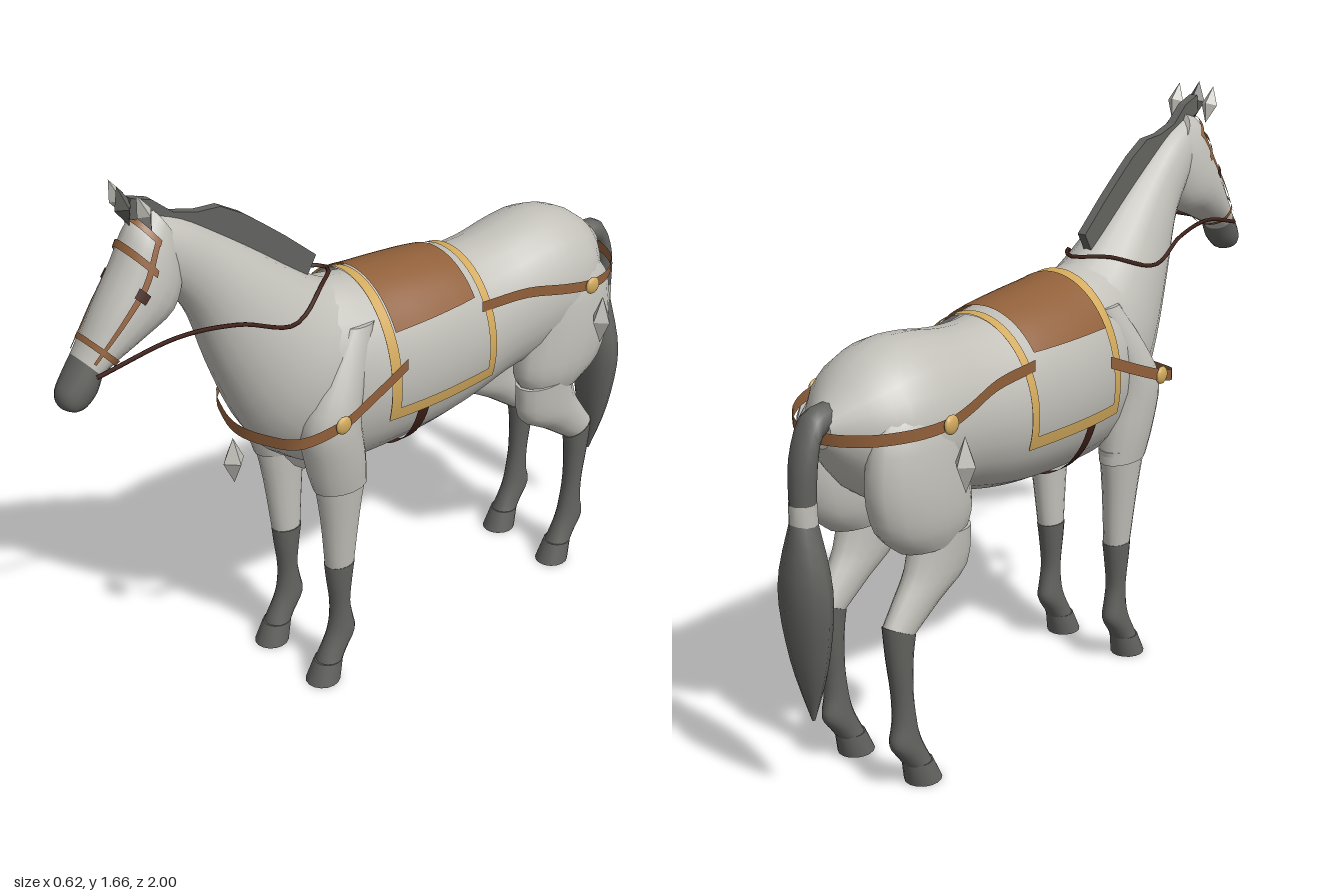
import * as THREE from 'three';

const mat = (name, color, side = THREE.FrontSide) => {
  const m = new THREE.MeshStandardMaterial({ color, side });
  m.name = name;
  return m;
};

// Ring = [frontZ, frontY, backZ, backY, halfWidth, centreX]; u is a fractional ring index
function ringAt(rings, u) {
  const n = rings.length - 1, i = Math.min(Math.floor(u), n - 1), t = u - i;
  const p = k => rings[Math.max(0, Math.min(n, k))];
  return [0, 1, 2, 3, 4, 5].map(k => {
    const [a, b, c, d] = [p(i - 1), p(i), p(i + 1), p(i + 2)].map(r => r[k] ?? 0);
    return 0.5 * (2 * b + (c - a) * t + (2 * a - 5 * b + 4 * c - d) * t * t + (3 * b - a - 3 * c + d) * t ** 3);
  });
}

// Point on a ring at angle a, pushed outward by off
function ringPoint([z1, y1, z2, y2, w, x], a, off = 0) {
  const k = 1 + 2 * off / Math.max(0.01, Math.hypot(z1 - z2, y1 - y2));
  const s = Math.sin(a) * 0.5 * k;
  return [x + Math.cos(a) * (w + off), (y1 + y2) / 2 + s * (y1 - y2), (z1 + z2) / 2 + s * (z1 - z2)];
}

// Grid of rows of points to a smooth surface; weld closes each row into a loop
function gridGeometry(rows, weld = false, flip = false) {
  const n = rows[0].length, pos = rows.flat(2), idx = [];
  for (let i = 0; i < rows.length - 1; i++)
    for (let j = 0; j < (weld ? n : n - 1); j++) {
      const a = i * n + j, b = i * n + (j + 1) % n, c = a + n, d = b + n;
      idx.push(...(flip ? [a, c, b, b, c, d] : [a, b, c, b, d, c]));
    }
  if (weld) for (const [row, start] of [[rows[0], true], [rows.at(-1), false]]) {
    const base = pos.length / 3;
    pos.push(...row.flat(), ...[0, 1, 2].map(k => row.reduce((s, p) => s + p[k] / n, 0)));
    for (let j = 0; j < n; j++) {
      const a = base + j, b = base + (j + 1) % n;
      idx.push(...(start !== flip ? [base + n, b, a] : [base + n, a, b]));
    }
  }
  const g = new THREE.BufferGeometry();
  g.setAttribute('position', new THREE.Float32BufferAttribute(pos, 3));
  g.setIndex(idx);
  g.computeVertexNormals();
  return g;
}

function loft(rings, steps = 3, sides = 16) {
  const rows = [], count = (rings.length - 1) * steps;
  let turn = 0;
  rings.slice(1).forEach((r, i) => {
    const q = rings[i];
    const dz = r[0] + r[2] - q[0] - q[2], dy = r[1] + r[3] - q[1] - q[3];
    turn += dz * (r[1] - r[3]) - dy * (r[0] - r[2]);
  });
  for (let i = 0; i <= count; i++) {
    const r = ringAt(rings, i / steps);
    rows.push(Array.from({ length: sides }, (_, j) => ringPoint(r, j / sides * Math.PI * 2)));
  }
  return gridGeometry(rows, true, turn < 0);
}

// Thin sheet lying on a lofted surface between u0..u1 and an angle range
function patch(rings, u0, u1, range, off, nu = 6, na = 20) {
  const rows = [];
  for (let i = 0; i <= nu; i++) {
    const r = ringAt(rings, u0 + (u1 - u0) * i / nu), [a0, a1] = range(r);
    rows.push(Array.from({ length: na + 1 }, (_, j) => ringPoint(r, a0 + (a1 - a0) * j / na, off)));
  }
  return gridGeometry(rows);
}

// Upright band along a path
function ribbon(points, height, steps = 48) {
  const pts = new THREE.CatmullRomCurve3(points.map(p => new THREE.Vector3(...p)), false, 'centripetal').getPoints(steps);
  return gridGeometry([-0.5, 0.5].map(s => pts.map(p => [p.x, p.y + s * height, p.z])));
}

export function createModel() {
  const group = new THREE.Group();
  const coat = mat('pale grey coat', 0xc2c0b9);
  const dark = mat('dark grey points', 0x62625f);
  const cloth = mat('grey cloth', 0xbdbbb4, THREE.DoubleSide);
  const leather = mat('brown leather', 0x91603a, THREE.DoubleSide);
  const gold = mat('gold trim', 0xd2a95c, THREE.DoubleSide);
  const rein = mat('dark brown leather', 0x43231b, THREE.DoubleSide);
  const add = (name, geometry, material) => {
    const m = new THREE.Mesh(geometry, material);
    m.name = name;
    group.add(m);
    return m;
  };
  const mirrored = (name, rings, material, steps) => [1, -1].forEach(s =>
    add(name, loft(rings.map(r => [...r.slice(0, 5), s * r[5]]), steps), material));

  // Barrel: evenly spaced slices of top, bottom and half width
  const z0 = -0.87, dz = 0.115;
  const body = [[1.06, 0.97, 0.04], [1.155, 0.82, 0.16], [1.195, 0.76, 0.195], [1.19, 0.74, 0.195],
    [1.17, 0.72, 0.19], [1.165, 0.69, 0.195], [1.18, 0.67, 0.205], [1.19, 0.66, 0.21],
    [1.2, 0.655, 0.205], [1.22, 0.655, 0.19], [1.235, 0.67, 0.16]]
    .map(([t, b, w], i) => [z0 + i * dz, t, z0 + i * dz, b, w, 0]);
  add('body', loft(body, 3, 24), coat);

  // Neck and head
  add('neck', loft([[0.1, 1.2, 0.24, 0.67, 0.17], [0.19, 1.23, 0.37, 0.76, 0.165], [0.28, 1.29, 0.46, 0.88, 0.14],
    [0.4, 1.38, 0.545, 1.08, 0.105], [0.52, 1.465, 0.595, 1.23, 0.078], [0.62, 1.53, 0.64, 1.31, 0.066],
    [0.72, 1.57, 0.68, 1.36, 0.055]], 3, 20), coat);
  const head = [[0.70, 1.575, 0.64, 1.47, 0.045], [0.76, 1.55, 0.63, 1.37, 0.07], [0.81, 1.46, 0.665, 1.295, 0.085],
    [0.865, 1.37, 0.75, 1.255, 0.08], [0.915, 1.285, 0.85, 1.21, 0.064], [0.94, 1.25, 0.885, 1.185, 0.056]];
  add('head', loft(head), coat);
  add('muzzle', loft([[0.94, 1.25, 0.885, 1.185, 0.056], [0.975, 1.205, 0.9, 1.145, 0.054],
    [0.998, 1.17, 0.93, 1.115, 0.047], [1.0, 1.14, 0.955, 1.11, 0.035], [0.993, 1.125, 0.97, 1.112, 0.015]]), dark);

  // Mane as a thin scalloped crest
  const mane = new THREE.Shape();
  [[0.77, 1.57], [0.76, 1.62], [0.7, 1.6], [0.64, 1.55], [0.57, 1.53], [0.5, 1.525], [0.43, 1.485], [0.37, 1.44],
    [0.3, 1.385], [0.2, 1.3], [0.235, 1.24], [0.3, 1.27], [0.45, 1.38], [0.6, 1.48], [0.7, 1.54]]
    .forEach(([z, y], i) => (i ? mane.lineTo(-z, y) : mane.moveTo(-z, y)));
  const maneGeometry = new THREE.ExtrudeGeometry(mane, { depth: 0.026, bevelEnabled: false });
  add('mane', maneGeometry.translate(0, 0, -0.013).rotateY(Math.PI / 2), dark);

  // Ears, plume and hanging drops share one diamond
  const diamond = (name, material, pos, size, tilt = 0) => {
    const m = add(name, new THREE.OctahedronGeometry(1), material);
    m.position.set(...pos);
    m.scale.set(...size);
    m.rotation.x = tilt;
  };
  for (const s of [1, -1]) {
    diamond('ear', coat, [s * 0.06, 1.597, 0.755], [0.027, 0.055, 0.022], 0.35);
    diamond('haunchDrop', coat, [s * 0.275, 0.925, -0.645], [0.033, 0.075, 0.033]);
  }
  diamond('forelock', dark, [0, 1.6, 0.775], [0.03, 0.058, 0.025], 0.25);
  diamond('chestDrop', coat, [0, 0.77, 0.485], [0.034, 0.07, 0.034]);

  // Front legs
  mirrored('shoulder', [[0.19, 1.125, 0.105, 1.125, 0.02, 0.135], [0.285, 1, 0.145, 1, 0.055, 0.137],
    [0.35, 0.88, 0.17, 0.88, 0.077, 0.138], [0.335, 0.75, 0.15, 0.75, 0.072, 0.135],
    [0.31, 0.655, 0.14, 0.65, 0.056, 0.135]], coat);
  mirrored('foreLeg', [[0.31, 0.69, 0.14, 0.69, 0.056, 0.135], [0.285, 0.55, 0.16, 0.55, 0.046, 0.13],
    [0.267, 0.385, 0.175, 0.385, 0.036, 0.123]], coat);
  mirrored('foreStocking', [[0.268, 0.385, 0.173, 0.385, 0.038, 0.122], [0.262, 0.33, 0.182, 0.33, 0.035, 0.122],
    [0.252, 0.25, 0.19, 0.25, 0.03, 0.122], [0.255, 0.19, 0.18, 0.19, 0.031, 0.122],
    [0.268, 0.14, 0.172, 0.14, 0.034, 0.122], [0.295, 0.085, 0.205, 0.09, 0.036, 0.122],
    [0.305, 0.06, 0.225, 0.06, 0.04, 0.122]], dark);
  mirrored('foreHoof', [[0.308, 0.065, 0.222, 0.065, 0.041, 0.122], [0.338, 0, 0.235, 0, 0.05, 0.122]], dark, 1);

  // Hind legs
  mirrored('thigh', [[-0.58, 1.08, -0.72, 1.08, 0.03, 0.12], [-0.51, 0.99, -0.8, 1, 0.072, 0.122],
    [-0.48, 0.85, -0.825, 0.86, 0.088, 0.122], [-0.465, 0.735, -0.795, 0.74, 0.083, 0.122],
    [-0.5, 0.668, -0.72, 0.67, 0.06, 0.122]], coat);
  mirrored('gaskin', [[-0.475, 0.69, -0.67, 0.71, 0.066, 0.125], [-0.485, 0.58, -0.7, 0.61, 0.058, 0.125],
    [-0.59, 0.51, -0.745, 0.54, 0.046, 0.123], [-0.69, 0.44, -0.785, 0.485, 0.036, 0.122]], coat);
  mirrored('hindStocking', [[-0.687, 0.44, -0.787, 0.488, 0.038, 0.122], [-0.698, 0.38, -0.778, 0.39, 0.034, 0.122],
    [-0.7, 0.28, -0.763, 0.28, 0.029, 0.122], [-0.69, 0.2, -0.763, 0.2, 0.03, 0.122],
    [-0.675, 0.14, -0.775, 0.14, 0.034, 0.122], [-0.65, 0.085, -0.742, 0.09, 0.036, 0.122],
    [-0.638, 0.06, -0.72, 0.06, 0.04, 0.122]], dark);
  mirrored('hindHoof', [[-0.636, 0.065, -0.722, 0.065, 0.041, 0.122], [-0.605, 0, -0.71, 0, 0.05, 0.122]], dark, 1);

  // Tail with a pale binding
  add('tailDock', loft([[-0.83, 1.01, -0.84, 1.085, 0.035], [-0.885, 1, -0.91, 1.07, 0.04],
    [-0.9, 0.93, -0.96, 0.965, 0.04], [-0.9, 0.85, -0.972, 0.85, 0.035]], 3, 10), dark);
  add('tailBinding', loft([[-0.9, 0.85, -0.973, 0.85, 0.036], [-0.898, 0.79, -0.975, 0.79, 0.036]], 1, 10), coat);
  add('tailHair', loft([[-0.898, 0.8, -0.975, 0.8, 0.034], [-0.885, 0.62, -0.997, 0.62, 0.08],
    [-0.897, 0.42, -0.978, 0.42, 0.058], [-0.928, 0.25, -0.938, 0.25, 0.004]], 4, 10), dark);

  // Saddle cloth, trim, seat and girth follow the barrel
  const u = z => (z - z0) / dz;
  const angle = (r, y) => Math.asin(Math.max(-1, Math.min(1, (2 * y - r[1] - r[3]) / (r[1] - r[3]))));
  const over = y => r => [angle(r, y), Math.PI - angle(r, y)];
  add('saddleCloth', patch(body, u(-0.285), u(0.1), over(0.84), 0.008, 14, 36), cloth);
  add('trimFront', patch(body, u(0.07), u(0.103), over(0.84), 0.013, 2, 36), gold);
  add('trimBack', patch(body, u(-0.29), u(-0.262), over(0.84), 0.013, 2, 36), gold);
  for (const flip of [false, true]) {
    add('trimBottom', patch(body, u(-0.29), u(0.103), r => [0.84, 0.875].map(y =>
      flip ? Math.PI - angle(r, y) : angle(r, y)), 0.013, 14, 2), gold);
  }
  add('saddle', patch(body, u(-0.235), u(0.068), over(1.08), 0.017, 12, 24), leather);
  add('girth', patch(body, u(-0.04), u(0), r => [angle(r, 0.845), -Math.PI - angle(r, 0.845)], 0.007, 3, 30), rein);

  // Breast strap and haunch strap, drawn on one side and mirrored
  const bothSides = half => [...half, ...half.slice(0, -1).reverse().map(([x, y, z]) => [-x, y, z])];
  add('breastStrap', ribbon(bothSides([[0.215, 1, 0.05], [0.222, 0.945, 0.18], [0.225, 0.905, 0.285],
    [0.185, 0.872, 0.4], [0.1, 0.862, 0.445], [0, 0.86, 0.468]]), 0.034), leather);
  add('haunchStrap', ribbon(bothSides([[0.185, 1.062, -0.25], [0.195, 1.055, -0.42], [0.215, 1.032, -0.55],
    [0.225, 1.02, -0.645], [0.2, 1.013, -0.74], [0.12, 1.007, -0.84], [0, 1.005, -0.885]]), 0.032), leather);
  for (const s of [1, -1]) {
    for (const [x, y, z] of [[0.226, 0.905, 0.285], [0.232, 1.02, -0.645]]) {
      const stud = add('stud', new THREE.SphereGeometry(0.026, 12, 8), gold);
      stud.position.set(s * x, y, z);
      stud.scale.x = 0.4;
    }
  }

  // Bridle, eyes and reins
  add('browBand', patch(head, 1.5, 1.68, () => [0.3, Math.PI - 0.3], 0.005, 2), leather);
  add('noseBand', patch(head, 3.85, 4.05, () => [0, Math.PI * 2], 0.005, 2, 28), leather);
  add('pollStrap', patch(head, 0.75, 0.95, () => [0.4, Math.PI - 0.4], 0.005, 2), leather);
  for (const flip of [false, true]) {
    const side = (a, b) => () => flip ? [Math.PI - a, Math.PI - b] : [a, b];
    add('cheekStrap', patch(head, 0.8, 4.6, side(0.42, 0.57), 0.005, 18, 2), leather);
    add('eye', patch(head, 2.15, 2.42, side(0.3, 0.62), 0.008, 3, 4), rein);
  }
  const reinPath = bothSides([[0.06, 1.21, 0.92], [0.095, 1.26, 0.7], [0.115, 1.245, 0.53],
    [0.135, 1.197, 0.37], [0.07, 1.24, 0.23], [0, 1.245, 0.155]]).map(p => new THREE.Vector3(...p));
  add('reins', new THREE.TubeGeometry(new THREE.CatmullRomCurve3(reinPath, false, 'centripetal'), 60, 0.006, 5), rein);

  return group;
}
